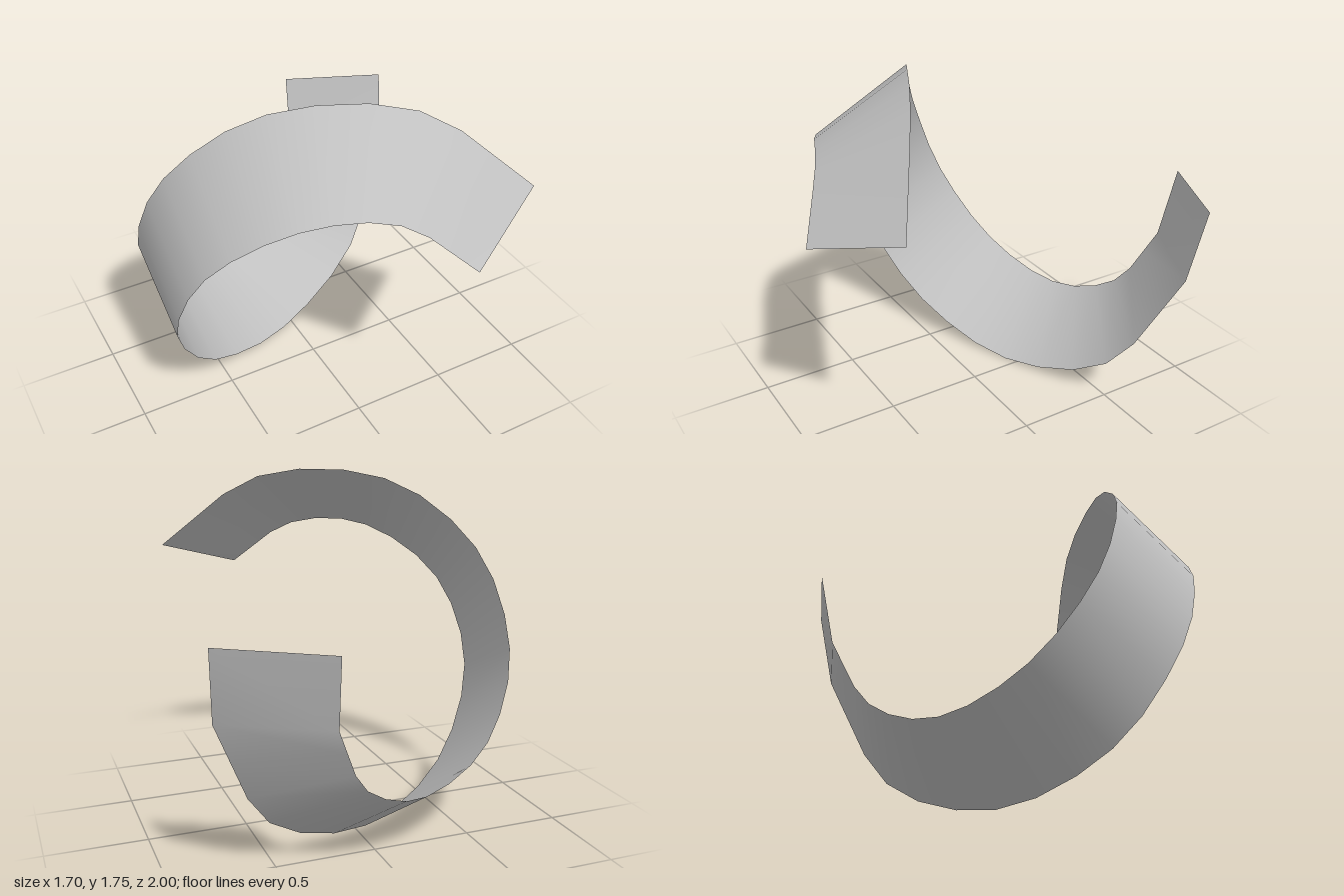
import * as THREE from 'three';

const V = (x, y, z) => new THREE.Vector3(x, y, z);

// Samples a smooth edge through the stations, then adds the straight end point.
function edge(stations, end, segments) {
  const curve = new THREE.CatmullRomCurve3(stations.map((p) => V(...p)), false, 'catmullrom', 0.5);
  return [...curve.getPoints(segments), V(...end)];
}

// Open strip ruled between two edges of equal length, with smooth normals.
function ruledStrip(a, b) {
  const positions = [], index = [];
  a.forEach((p, i) => {
    positions.push(...p.toArray(), ...b[i].toArray());
    if (i < a.length - 1) {
      const k = 2 * i;
      index.push(k, k + 1, k + 2, k + 1, k + 3, k + 2);
    }
  });
  const geometry = new THREE.BufferGeometry();
  geometry.setAttribute('position', new THREE.Float32BufferAttribute(positions, 3));
  geometry.setIndex(index);
  geometry.computeVertexNormals();
  return geometry;
}

export function createModel() {
  const group = new THREE.Group();
  group.name = 'twistedBand';

  const grey = new THREE.MeshStandardMaterial({ color: 0xc0c0c0, side: THREE.DoubleSide });
  grey.name = 'light grey';

  // Front edge: inner at the top, sweeping round the left to become the outer edge below
  const frontEdge = edge([
    [0.26, 1.19, 1.0], [-0.03, 1.42, 0.815], [-0.42, 1.41, 0.645],
    [-0.76, 1.125, 0.415], [-0.845, 0.66, 0.21], [-0.585, 0.2, 0.0],
    [-0.06, 0.003, -0.24], [0.52, 0.22, -0.48], [0.82, 0.8, -0.68],
  ], [0.845, 1.155, -0.76], 24);

  // Back edge: outer at the top, inner below
  const backEdge = edge([
    [0.72, 1.34, 0.76], [0.26, 1.715, 0.48], [-0.33, 1.71, 0.185],
    [-0.74, 1.365, -0.06], [-0.835, 0.87, -0.28], [-0.61, 0.465, -0.485],
    [-0.2, 0.31, -0.655], [0.165, 0.45, -0.8], [0.345, 0.79, -0.92],
  ], [0.365, 1.135, -1.0], 24);

  // Single-turn spiral ribbon
  const ribbon = new THREE.Mesh(ruledStrip(frontEdge, backEdge), grey);
  ribbon.name = 'spiralRibbon';
  group.add(ribbon);
  return group;
}
